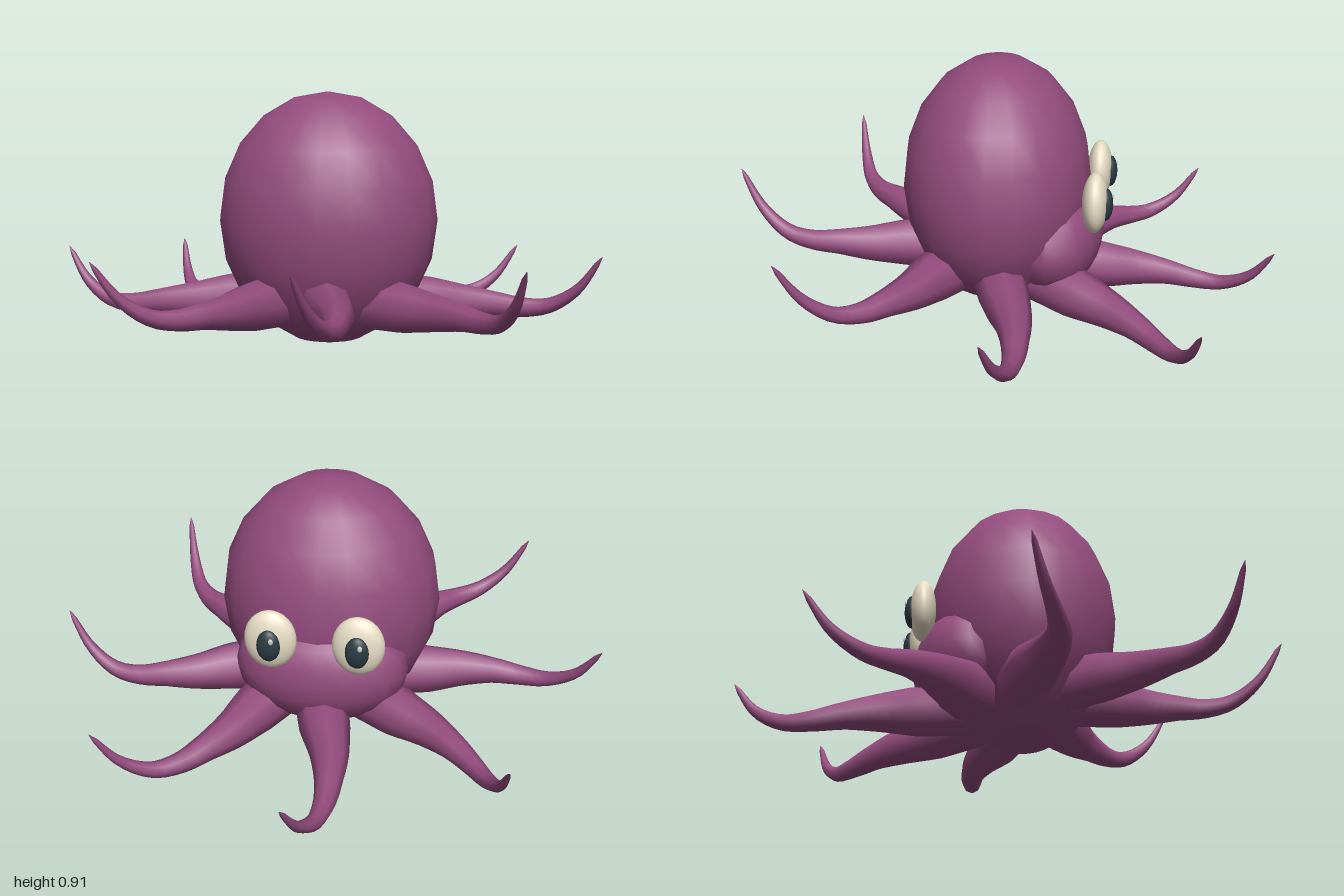
import * as THREE from 'three';

const mat = color => new THREE.MeshStandardMaterial({ color });
const skin = mat(0x944c7e), eyeWhite = mat(0xe8dec6), pupilDark = mat(0x2b3b42), shine = mat(0xffffff);

function ellipsoid(name, material, [x, y, z], [rx, ry, rz], w = 20, h = 10) {
  const mesh = new THREE.Mesh(new THREE.SphereGeometry(1, w, h), material);
  mesh.name = name;
  mesh.position.set(x, y, z);
  mesh.scale.set(rx, ry, rz);
  return mesh;
}

// Arm stations: distance outwards, sideways bulge, height, radius
const ARM = [
  [0.13, -0.02, 0.17, 0.05], [0.2, 0, 0.168, 0.098], [0.36, 0.04, 0.158, 0.09],
  [0.48, 0.075, 0.15, 0.069], [0.6, 0.092, 0.143, 0.049], [0.7, 0.094, 0.133, 0.038],
  [0.8, 0.077, 0.142, 0.029], [0.9, 0.04, 0.205, 0.019], [0.985, 0, 0.33, 0.007],
];

function armRadius(t) {
  const f = t * (ARM.length - 1), i = Math.min(Math.floor(f), ARM.length - 2);
  return THREE.MathUtils.lerp(ARM[i][3], ARM[i + 1][3], f - i);
}

// Tapered tube following a curled path; the ring of arms leans down towards -z
function arm(angle) {
  const s = Math.sin(angle), c = Math.cos(angle);
  const curve = new THREE.CatmullRomCurve3(ARM.map(([r, side, h]) => {
    const x = r * s + side * c, z = r * c - side * s;
    return new THREE.Vector3(x, h + 0.12 * z, z - 0.04 * x * x);
  }));
  const rings = 28, sides = 8;
  const geo = new THREE.TubeGeometry(curve, rings, 1, sides, false);
  const pos = geo.attributes.position, v = new THREE.Vector3();
  for (let i = 0; i <= rings; i++) {
    const u = i / rings, centre = curve.getPointAt(u);
    // the end rings close to a point
    const radius = i === 0 || i === rings ? 0.001 : armRadius(curve.getUtoTmapping(u));
    for (let j = 0; j <= sides; j++) {
      const k = i * (sides + 1) + j;
      v.fromBufferAttribute(pos, k).sub(centre).multiplyScalar(radius).add(centre);
      pos.setXYZ(k, v.x, v.y, v.z);
    }
  }
  return new THREE.Mesh(geo, skin);
}

export function createModel() {
  const model = new THREE.Group();
  model.name = 'octopus';

  // Body and the brow that carries the eyes
  model.add(ellipsoid('body', skin, [0, 0.465, 0.025], [0.395, 0.457, 0.34]));
  model.add(ellipsoid('face', skin, [0, 0.28, -0.18], [0.31, 0.21, 0.185]));

  // Eyes
  for (const side of [-1, 1]) {
    const eye = new THREE.Group();
    eye.name = side > 0 ? 'leftEye' : 'rightEye';
    const x = side * 0.153;
    eye.add(ellipsoid('eyeball', eyeWhite, [x, 0.45, -0.338], [0.092, 0.11, 0.046], 24, 16));
    eye.add(ellipsoid('pupil', pupilDark, [x, 0.445, -0.376], [0.042, 0.06, 0.026], 20, 12));
    eye.add(ellipsoid('highlight', shine, [x - 0.012, 0.47, -0.396], [0.009, 0.012, 0.006], 12, 8));
    model.add(eye);
  }

  // Eight arms
  for (let i = 0; i < 8; i++) {
    const mesh = arm(i * Math.PI / 4);
    mesh.name = 'arm' + (i + 1);
    model.add(mesh);
  }
  return model;
}
